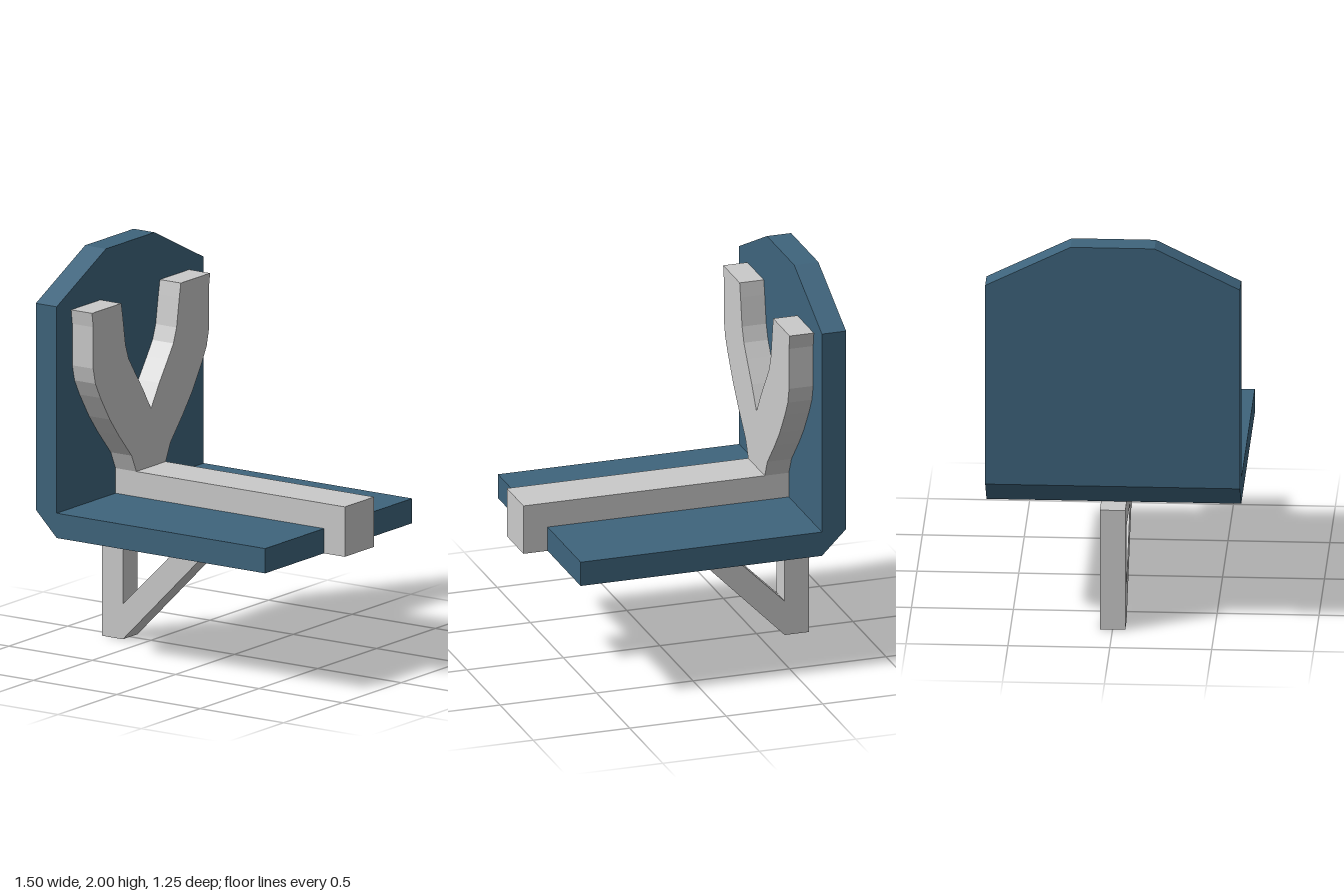
import * as THREE from 'three';

const blue = new THREE.MeshStandardMaterial({ color: 0x3e647c });
blue.name = 'slate blue';
const grey = new THREE.MeshStandardMaterial({ color: 0xcacaca });
grey.name = 'light grey';

const toPoints = (list) => list.map(([a, b]) => new THREE.Vector2(a, b));

function extrude(name, outline, depth, material, hole) {
  const shape = new THREE.Shape(toPoints(outline));
  if (hole) shape.holes.push(new THREE.Path(toPoints(hole)));
  const geometry = new THREE.ExtrudeGeometry(shape, { depth, bevelEnabled: false });
  const mesh = new THREE.Mesh(geometry, material);
  mesh.name = name;
  return mesh;
}

// Side profile (x, y), centred across z
function acrossZ(name, outline, width, material, hole) {
  const mesh = extrude(name, outline, width, material, hole);
  mesh.geometry.translate(0, 0, -width / 2);
  return mesh;
}

// Half of a symmetric (z, y) profile, mirrored and extruded along x
function acrossX(name, half, x, thickness, material) {
  const mirrored = half.filter(([z]) => z > 0).reverse().map(([z, y]) => [-z, y]);
  const mesh = extrude(name, [...half, ...mirrored], thickness, material);
  mesh.geometry.rotateY(Math.PI / 2).translate(x, 0, 0);
  return mesh;
}

export function createModel() {
  const group = new THREE.Group();
  group.name = 'wallRest';

  // Upright plate with cut top corners
  group.add(acrossX('backPlate', [[0.625, 0.75], [0.625, 1.792], [0.206, 2]], -0.75, 0.125, blue));

  // Shelf with a chamfer under the back edge
  group.add(acrossZ('shelf', [[-0.75, 0.75], [-0.625, 0.625], [0.625, 0.625], [0.625, 0.75]], 1.25, blue));

  // Central rail, hooked down over the front of the shelf
  group.add(acrossZ('rail', [
    [-0.625, 0.75], [0.625, 0.75], [0.625, 0.625], [0.75, 0.625], [0.75, 0.877], [-0.625, 0.877],
  ], 0.25, grey));

  // Forked Y standing on the rail against the plate
  group.add(acrossX('fork', [
    [0.125, 0.877], [0.165, 0.965], [0.275, 1.09], [0.35, 1.185], [0.43, 1.31],
    [0.473, 1.39], [0.492, 1.47], [0.492, 1.68], [0.502, 1.752], [0.253, 1.752],
    [0.24, 1.68], [0.217, 1.535], [0.19, 1.46], [0.143, 1.39], [0.07, 1.285], [0, 1.17],
  ], -0.625, 0.125, grey));

  // Triangular bracket below the shelf
  group.add(acrossZ('bracket', [
    [-0.75, 0], [-0.625, 0], [-0.13, 0.5], [0.07, 0.5], [0.07, 0.625], [-0.75, 0.625],
  ], 0.125, grey, [[-0.625, 0.178], [-0.625, 0.5], [-0.3, 0.5]]));

  return group;
}
